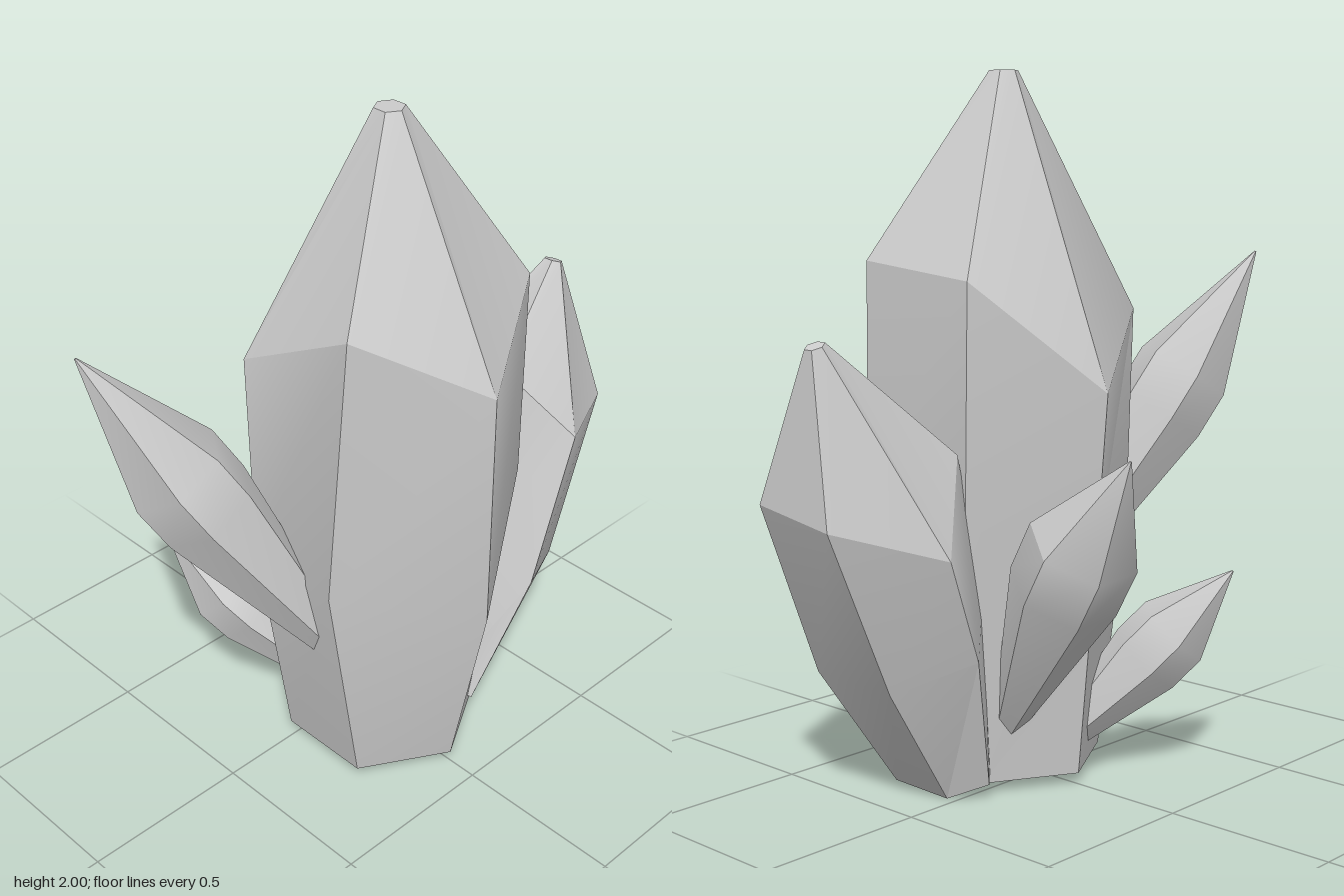
import * as THREE from 'three';
import { toCreasedNormals } from 'three/addons/utils/BufferGeometryUtils.js';

const material = new THREE.MeshStandardMaterial({ color: 0xcccccc });
const SIDES = 6;

// Skins a stack of six-point rings (listed base to tip, counter-clockwise from the tip)
// and closes both ends. The gentle bend along each side is smooth, the facets stay sharp.
function crystal(name, rings) {
  const pos = [];
  const tri = (a, b, c) => pos.push(...a, ...b, ...c);
  for (let r = 0; r < rings.length - 1; r++) {
    const lo = rings[r], hi = rings[r + 1];
    for (let i = 0; i < SIDES; i++) {
      const j = (i + 1) % SIDES;
      tri(lo[i], lo[j], hi[j]);
      tri(lo[i], hi[j], hi[i]);
    }
  }
  const base = rings[0], top = rings[rings.length - 1];
  for (let i = 1; i < SIDES - 1; i++) {
    tri(base[0], base[i + 1], base[i]);
    tri(top[0], top[i], top[i + 1]);
  }
  const geometry = new THREE.BufferGeometry();
  geometry.setAttribute('position', new THREE.Float32BufferAttribute(pos, 3));
  const mesh = new THREE.Mesh(toCreasedNormals(geometry, 0.43), material);
  mesh.name = name;
  return mesh;
}

// Regular ring around a centre, square to an axis.
function ring(center, axis, radius, phase) {
  const u = new THREE.Vector3(1, 0, 0).addScaledVector(axis, -axis.x).normalize();
  const v = new THREE.Vector3().crossVectors(axis, u);
  return Array.from({ length: SIDES }, (_, i) => {
    const t = phase + (i * Math.PI * 2) / SIDES;
    return center.clone()
      .addScaledVector(u, Math.cos(t) * radius)
      .addScaledVector(v, Math.sin(t) * radius)
      .toArray();
  });
}

// Slim pointed shard: narrow base, full waist just below the shoulder, sharp tip.
function shard(name, base, shoulder, tip, baseRadius, radius) {
  const [b, s, t] = [base, shoulder, tip].map((p) => new THREE.Vector3(...p));
  const axis = t.clone().sub(b).normalize();
  const waist = s.clone().addScaledVector(axis, -radius);
  const phase = Math.PI / 6;
  return crystal(name, [
    ring(b, axis, baseRadius, phase),
    ring(waist, axis, radius, phase),
    ring(s, axis, radius, phase),
    ring(t, axis, 0.003, phase),
  ]);
}

export function createModel() {
  const group = new THREE.Group();
  group.name = 'crystalCluster';

  // Large upright crystal with an uneven shoulder and a small flat tip
  group.add(crystal('mainCrystal', [
    [[0.41, 0.035, 0], [0.267, 0.035, -0.247], [-0.02, 0.035, -0.247],
      [-0.16, 0.035, 0], [-0.02, 0.035, 0.247], [0.267, 0.035, 0.247]],
    [[0.525, 0.6, 0], [0.295, 0.82, -0.375], [-0.05, 0.78, -0.337],
      [-0.22, 0.65, 0], [-0.05, 0.7, 0.335], [0.29, 0.75, 0.378]],
    [[0.52, 1.32, 0], [0.32, 1.48, -0.345], [-0.07, 1.44, -0.345],
      [-0.27, 1.13, -0.01], [-0.07, 1.33, 0.337], [0.32, 1.54, 0.337]],
    ring(new THREE.Vector3(0.125, 2, 0), new THREE.Vector3(0, 1, 0), 0.042, 0),
  ]));

  // Broad crystal leaning to the back
  const backAxis = new THREE.Vector3(-0.04, 0.93, -0.36).normalize();
  group.add(crystal('backCrystal', [
    [[0.33, 0.09, -0.175], [0.23, 0.01, -0.34], [0.03, 0.003, -0.335],
      [-0.07, 0.05, -0.27], [0.03, 0.1, -0.16], [0.23, 0.1, -0.16]],
    [[0.4, 0.48, -0.34], [0.255, 0.38, -0.6], [-0.01, 0.36, -0.58],
      [-0.13, 0.43, -0.37], [0, 0.58, -0.22], [0.23, 0.62, -0.24]],
    [[0.37, 0.89, -0.535], [0.245, 0.87, -0.795], [-0.02, 0.83, -0.795],
      [-0.16, 0.73, -0.5], [-0.045, 0.98, -0.36], [0.22, 1.12, -0.375]],
    ring(new THREE.Vector3(0.085, 1.29, -0.735), backAxis, 0.028, 0),
  ]));

  // Three slim shards growing from the sides
  group.add(shard('frontShard', [0.2, 0.44, 0.24], [-0.04, 1.12, 0.61], [-0.17, 1.48, 0.795], 0.045, 0.147));
  group.add(shard('sideShard', [-0.03, 0.18, -0.16], [-0.355, 0.75, -0.205], [-0.525, 1.0, -0.22], 0.04, 0.155));
  group.add(shard('lowShard', [0, 0.035, 0.02], [-0.285, 0.42, 0.265], [-0.42, 0.6, 0.365], 0.028, 0.115));

  return group;
}
